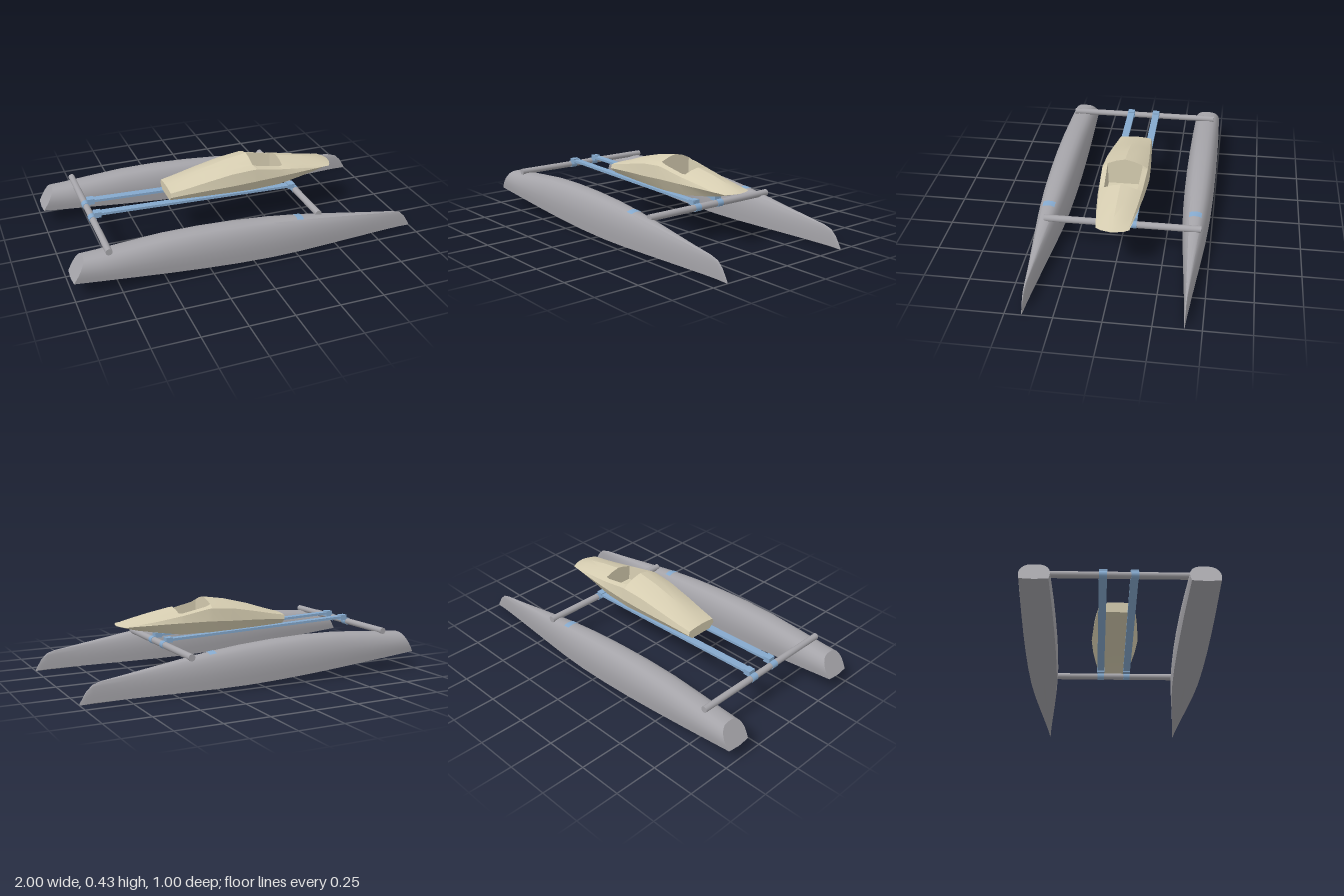
import * as THREE from 'three';
import { toCreasedNormals } from 'three/addons/utils/BufferGeometryUtils.js';

const material = (name, color, side = THREE.FrontSide) => {
  const m = new THREE.MeshStandardMaterial({ color, side });
  m.name = name;
  return m;
};

// Triangle soup to geometry, smooth except at hard edges
function solid(tris, crease) {
  const g = new THREE.BufferGeometry();
  g.setAttribute('position', new THREE.Float32BufferAttribute(tris.flat(2), 3));
  return toCreasedNormals(g, crease);
}

// Mirror a half section (keel, +z side, crown) into a whole ring
const ring = (half) => [...half, ...half.slice(1, -1).reverse().map(([x, y, z]) => [x, y, -z])];

// Skin between rings placed along x, with a flat cap on the first ring
function loft(rings, { crease = 0.5, cap = true, skip = () => false, closed = true } = {}) {
  const tris = [], n = rings[0].length;
  for (let i = 0; i < rings.length - 1; i++) {
    for (let j = 0; j < (closed ? n : n - 1); j++) {
      if (skip(i, j)) continue;
      const k = (j + 1) % n;
      const a = rings[i][j], b = rings[i][k], c = rings[i + 1][j], d = rings[i + 1][k];
      tris.push([a, c, b], [b, c, d]);
    }
  }
  if (cap) for (let j = 1; j < n - 1; j++) tris.push([rings[0][0], rings[0][j], rings[0][j + 1]]);
  return solid(tris, crease);
}

// Hull stations: x, keel y, deck y, half width
const hullStations = [
  [-1, 0.09, 0.21, 0.076], [-0.85, 0.077, 0.214, 0.08], [-0.7, 0.064, 0.226, 0.084],
  [-0.5, 0.046, 0.241, 0.087], [-0.3, 0.03, 0.243, 0.088], [-0.1, 0.017, 0.236, 0.086],
  [0.1, 0.008, 0.222, 0.08], [0.26, 0.005, 0.205, 0.07], [0.3, 0.005, 0.2, 0.067],
  [0.45, 0.004, 0.179, 0.053], [0.6, 0.003, 0.156, 0.038], [0.75, 0.002, 0.133, 0.023],
  [0.88, 0.001, 0.114, 0.011], [0.93, 0.001, 0.099, 0.007], [0.965, 0, 0.066, 0.004],
  [1, 0, 0.008, 0.001],
];
// Half section: width fraction, height fraction
const hullSection = [
  [0, 0], [0.93, 0.045], [0.98, 0.25], [1, 0.45], [0.95, 0.62], [0.85, 0.76],
  [0.7, 0.88], [0.5, 0.96], [0.25, 0.993], [0, 1],
];
const hullRing = ([x, y0, y1, w]) => ring(hullSection.map(([u, v]) =>
  [x === -1 ? x + 0.07 * v : x, y0 + (y1 - y0) * v, w * u]));

// Pod stations: x, bottom, mid chine, upper chine, rim, shoulder, crown heights, half width
const podStations = [
  [-0.355, 0.25, 0.278, 0.302, 0.306, 0.309, 0.311, 0.1],
  [-0.27, 0.247, 0.285, 0.317, 0.324, 0.331, 0.335, 0.108],
  [-0.15, 0.244, 0.293, 0.342, 0.354, 0.367, 0.374, 0.119],
  [0, 0.241, 0.3, 0.37, 0.385, 0.402, 0.411, 0.13],
  [0.13, 0.239, 0.308, 0.38, 0.4, 0.42, 0.431, 0.137],
  [0.155, 0.239, 0.309, 0.378, 0.388, 0.39, 0.39, 0.136],
  [0.3, 0.241, 0.31, 0.35, 0.358, 0.36, 0.36, 0.128],
  [0.32, 0.243, 0.31, 0.347, 0.361, 0.377, 0.386, 0.126],
  [0.45, 0.262, 0.309, 0.326, 0.339, 0.355, 0.364, 0.112],
  [0.56, 0.28, 0.307, 0.314, 0.322, 0.333, 0.338, 0.099],
  [0.62, 0.293, 0.306, 0.308, 0.312, 0.317, 0.32, 0.092],
  [0.655, 0.303, 0.304, 0.305, 0.3055, 0.306, 0.307, 0.088],
];
const podWidths = [0.7, 1, 0.93, 0.72, 0.36, 0];
const podHalf = ([x, yb, ...rest]) => {
  const w = rest[5];
  const bow = Math.max(0, (x - 0.5) / 0.155) * 0.03; // rounds the nose in plan
  return [[x, yb, 0], [x - bow * 0.49, yb, w * podWidths[0]],
    ...podWidths.slice(1).map((u, i) => [x - bow * u * u, rest[i], w * u])];
};

export function createModel() {
  const grey = material('hull grey', 0xa5a4a9);
  const cream = material('pod cream', 0xd5ccb0, THREE.DoubleSide);
  const blue = material('rail blue', 0x85a9cd, THREE.DoubleSide);
  const model = new THREE.Group();
  model.name = 'catamaran';
  const add = (name, geometry, mat, x = 0, y = 0, z = 0) => {
    const mesh = new THREE.Mesh(geometry, mat);
    mesh.name = name;
    mesh.position.set(x, y, z);
    model.add(mesh);
    return mesh;
  };

  // Two hulls, each with a small plate laid on the deck
  const hull = loft(hullStations.map(hullRing));
  const patchRows = hullStations.slice(7, 9).map((s) =>
    hullRing(s).slice(7, 12).map(([x, y, z]) => [x, y + 0.002, z]));
  const patch = loft(patchRows, { cap: false, closed: false });
  for (const side of [-1, 1]) {
    add('hull', hull, grey, 0, 0, side * 0.41);
    add('deckPlate', patch, blue, 0, 0, side * 0.41);
  }

  // Round cross beams
  const beam = (name, x, y, r, z0, z1) =>
    add(name, new THREE.CylinderGeometry(r, r, z1 - z0, 24).rotateX(Math.PI / 2), grey, x, y, (z0 + z1) / 2);
  beam('rearBeam', -0.8, 0.228, 0.018, -0.455, 0.455);
  beam('frontBeam', 0.405, 0.19, 0.019, -0.45, 0.41);

  // Sloping rails with end blocks and collars round the beams
  const start = new THREE.Vector2(-0.79, 0.256), end = new THREE.Vector2(0.4, 0.217);
  const run = end.clone().sub(start), mid = start.clone().add(end).multiplyScalar(0.5);
  const collar = (r) => new THREE.CylinderGeometry(r, r, 0.04, 24).rotateX(Math.PI / 2);
  for (const z of [-0.08, 0.08]) {
    add('rail', new THREE.BoxGeometry(run.length(), 0.014, 0.042), blue, mid.x, mid.y, z).rotation.z = run.angle();
    add('rearRailBlock', new THREE.BoxGeometry(0.04, 0.032, 0.042), blue, -0.772, 0.252, z);
    add('frontRailBlock', new THREE.BoxGeometry(0.04, 0.028, 0.044), blue, 0.38, 0.217, z);
    add('rearCollar', collar(0.021), blue, -0.8, 0.228, z);
    add('frontCollar', collar(0.021), blue, 0.405, 0.19, z);
  }

  // Crew pod, left open over the cockpit
  const halves = podStations.map(podHalf);
  const inCockpit = (i, j) => i >= 4 && i <= 6 && j >= 4 && j <= 7;
  add('pod', loft(halves.map(ring), { crease: 0.32, skip: inCockpit }), cream);

  // Cockpit tub: walls dropped from the opening's edge to a flat floor
  const rear = ring(halves[4]).slice(4, 9), fore = ring(halves[7]).slice(4, 9).reverse();
  const rimA = [5, 6].map((i) => ring(halves[i])[8]);
  const rimB = [6, 5].map((i) => ring(halves[i])[4]);
  const edge = [...rear, ...rimA, ...fore, ...rimB];
  const floor = edge.map(([x, , z]) => [x, 0.275, z * 0.95]);
  const centre = edge.map(() => [0.22, 0.275, 0]);
  add('cockpitTub', loft([edge, floor, centre], { cap: false, crease: 0.4 }), cream);

  return model;
}
